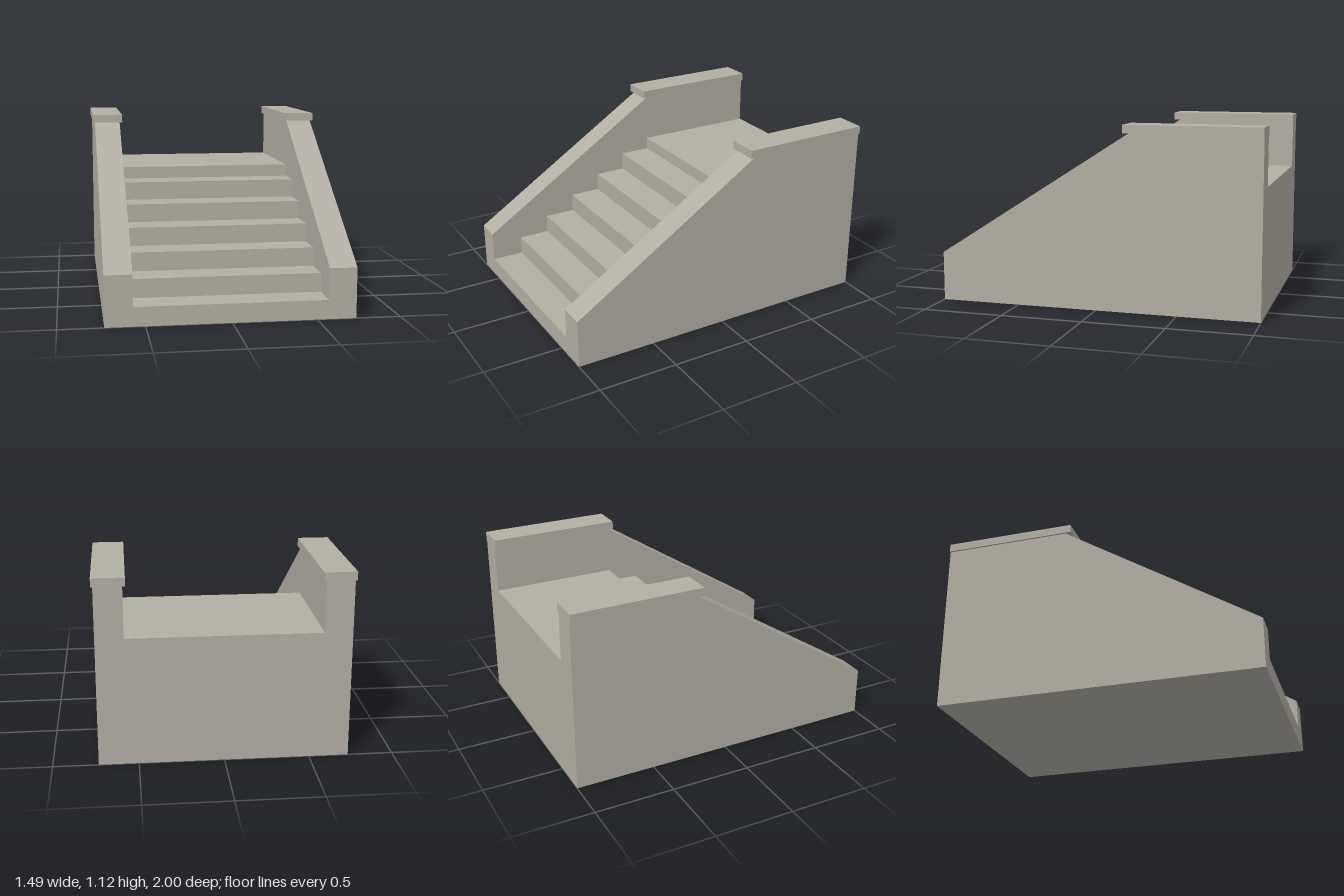
import * as THREE from 'three';

const stone = new THREE.MeshStandardMaterial({ color: 0xb2aea2 });
stone.name = 'stone';

// Extrudes a side profile of [z, y] points across x from x0 to x1
function extrudeAcross(name, points, x0, x1) {
  const shape = new THREE.Shape(points.map(([z, y]) => new THREE.Vector2(z, y)));
  const geometry = new THREE.ExtrudeGeometry(shape, { depth: x1 - x0, bevelEnabled: false });
  geometry.rotateY(-Math.PI / 2).translate(x1, 0, 0);
  const mesh = new THREE.Mesh(geometry, stone);
  mesh.name = name;
  return mesh;
}

export function createModel() {
  const group = new THREE.Group();
  group.name = 'stoneStaircase';

  // Six equal steps, then a shallower rise to the landing
  const rise = 0.115, run = 0.2, steps = 6, landing = 0.768;
  const profile = [[-1, 0], [1, 0]];
  for (let i = 0; i < steps; i++) {
    const y = rise * (i + 1), z = 1 - run * i;
    profile.push([z, y], [z - run, y]);
  }
  profile.push([1 - run * steps, landing], [-1, landing]);
  group.add(extrudeAcross('stairsAndLanding', profile, -0.57, 0.57));

  // Sloping side walls with a flat coping over the landing
  const wall = [[-1, 0], [1, 0], [1, 0.303], [-0.205, 1.072], [-1, 1.072]];
  for (const [side, s] of [['left', 1], ['right', -1]]) {
    const a = s * 0.57, b = s * 0.734;
    group.add(extrudeAcross(side + 'Wall', wall, Math.min(a, b), Math.max(a, b)));

    const coping = new THREE.Mesh(new THREE.BoxGeometry(0.191, 0.051, 0.83), stone);
    coping.position.set(s * 0.6495, 1.0975, -0.585);
    coping.name = side + 'Coping';
    group.add(coping);
  }
  return group;
}
